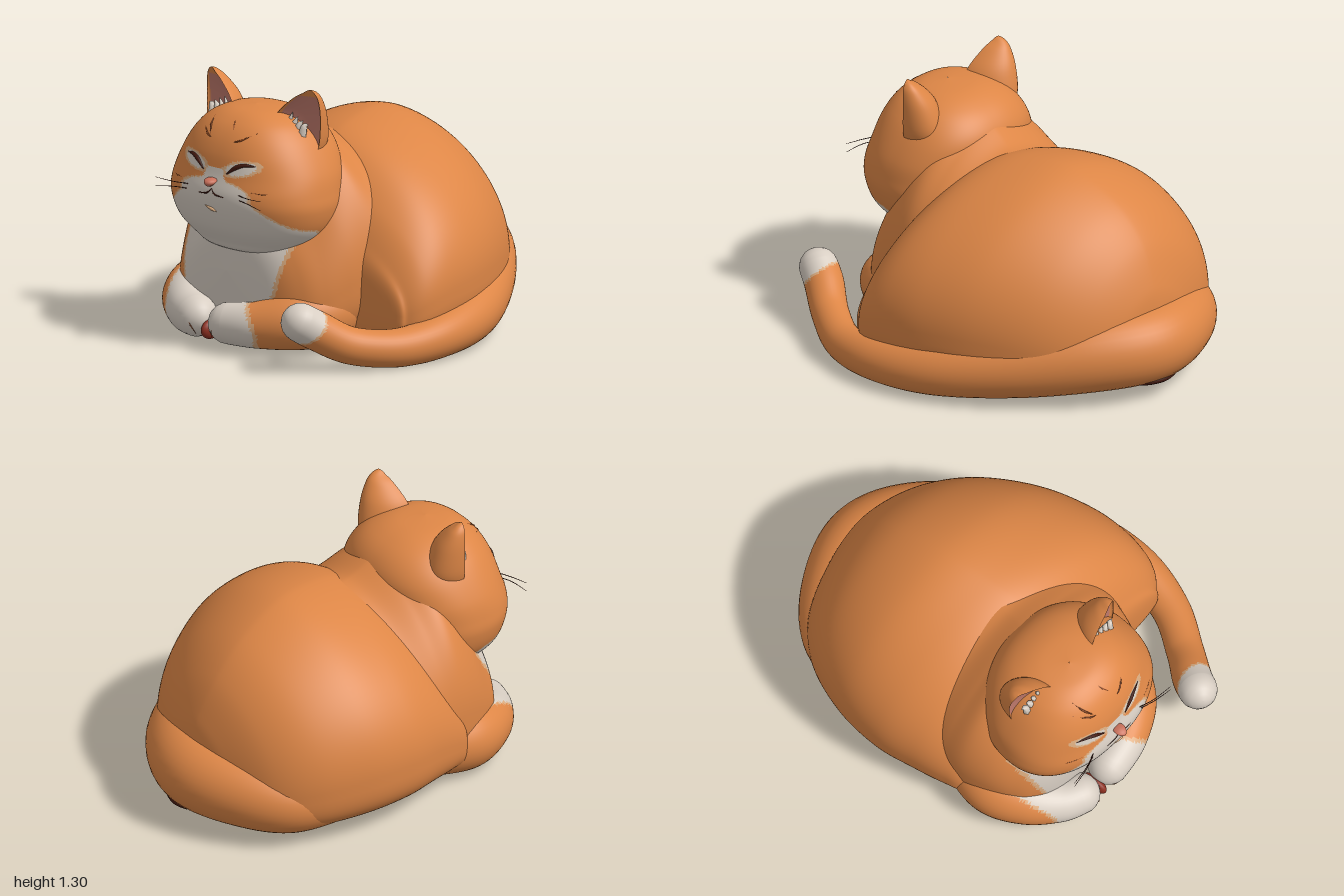
import * as THREE from 'three';

const mat = (name, color) => {
  const m = new THREE.MeshStandardMaterial({ color });
  m.name = name;
  return m;
};
const orange = mat('orange fur', 0xdd8646);
const white = mat('white fur', 0xd8cec3);
const tan = mat('tan fur', 0xdbac80);
const pink = mat('ear pink', 0xc07a6c);
const rose = mat('nose rose', 0xc9705a);
const dark = mat('dark line', 0x42190f);
const mark = mat('brown marking', 0x8a4620);
const red = mat('deep red', 0x8c2f20);
const FUR = [orange, white, tan, pink];
const O = 0, W = 1, T = 2, P = 3;
const HX = -0.14; // middle of the head in x

// Smooth interpolation through table rows
function sample(rows, t) {
  const f = t * (rows.length - 1), i = Math.min(Math.floor(f), rows.length - 2), u = f - i;
  const r = (k) => rows[Math.max(0, Math.min(rows.length - 1, k))];
  return rows[0].map((_, c) => {
    const a = r(i - 1)[c], b = r(i)[c], d = r(i + 1)[c], e = r(i + 2)[c];
    return b + 0.5 * u * (d - a + u * (2 * a - 5 * b + 4 * d - e + u * (3 * (b - d) + e - a)));
  });
}
const dense = (rows, n) => Array.from({ length: n + 1 }, (_, i) => sample(rows, i / n));
const spow = (v, e) => Math.sign(v) * Math.abs(v) ** e;

// Surface through closed rings; pick(centre, angle) chooses the colour of each triangle
function skin(name, rings, mats, pick = () => 0) {
  const n = rings[0].length, pts = rings.flat(), sets = mats.map(() => []);
  const add = (a, b, c, angle) => {
    const mid = pts[a].clone().add(pts[b]).add(pts[c]).divideScalar(3);
    sets[pick(mid, angle)].push(a, b, c);
  };
  for (let i = 0; i < rings.length - 1; i++) {
    for (let j = 0; j < n; j++) {
      const a = i * n + j, b = i * n + ((j + 1) % n), angle = ((j + 0.5) / n) * Math.PI * 2;
      add(a, b, a + n, angle);
      add(b, b + n, a + n, angle);
    }
  }
  const g = new THREE.BufferGeometry().setFromPoints(pts);
  g.setIndex(sets.flat());
  let start = 0;
  sets.forEach((s, m) => { if (s.length) g.addGroup(start, s.length, m); start += s.length; });
  g.computeVertexNormals();
  const mesh = new THREE.Mesh(g, mats);
  mesh.name = name;
  return mesh;
}
const ring = (n, fn) => Array.from({ length: n }, (_, j) => fn((j / n) * Math.PI * 2));

// Trunk section along z: rows are z, left x, right x, top, bottom; slope narrows the upper half
function trunk(name, rows, slope, pick) {
  const rings = dense(rows, 90).map(([z, xl, xr, top, bot]) => {
    const c = (xl + xr) / 2, h = (xr - xl) / 2, mid = bot + 0.33 * (top - bot);
    return ring(120, (a) => {
      const s = Math.sin(a), k = Math.cos(a), up = s >= 0;
      return new THREE.Vector3(c + h * spow(k, up ? slope : 0.6),
        up ? mid + (top - mid) * s : mid + (mid - bot) * spow(s, 0.6), z);
    });
  });
  return skin(name, rings, FUR, pick);
}

// Round limb: rows are x, y, z, radius; both ends are rounded
function limb(name, rows, mats, pick, n = 40, sides = 28, floor = 0.01) {
  const pts = dense(rows, n), v = (r) => new THREE.Vector3(r[0], r[1], r[2]);
  const stops = pts.map((p, i) => ({
    c: v(p), r: Math.max(p[3], 0.0005),
    t: v(pts[Math.min(n, i + 1)]).sub(v(pts[Math.max(0, i - 1)])).normalize(),
  }));
  const cap = (s, dir) => [0.3, 0.6, 0.9, 1.2, 1.4, 1.57].map((a) => ({
    c: s.c.clone().addScaledVector(s.t, dir * s.r * Math.sin(a)), r: s.r * Math.cos(a), t: s.t,
  }));
  const all = [...cap(stops[0], -1).reverse(), ...stops, ...cap(stops[n], 1)];
  const rings = all.map(({ c, r, t }) => {
    const N = new THREE.Vector3().crossVectors(t, new THREE.Vector3(0.01, 1, 0.02)).normalize();
    const B = new THREE.Vector3().crossVectors(t, N);
    return ring(sides, (a) => {
      const p = c.clone().addScaledVector(N, r * Math.cos(a)).addScaledVector(B, r * Math.sin(a));
      p.y = Math.max(p.y, floor);
      return p;
    });
  });
  return skin(name, rings, mats, pick);
}

// Head rows: y, half width, front z, back z
const headRows = dense([
  [0.47, 0.02, 0.6, 0.56], [0.5, 0.24, 0.76, 0.38], [0.55, 0.345, 0.81, 0.3], [0.63, 0.415, 0.87, 0.26],
  [0.73, 0.445, 0.905, 0.24], [0.81, 0.44, 0.91, 0.23], [0.9, 0.418, 0.885, 0.22], [1.0, 0.368, 0.86, 0.22],
  [1.08, 0.31, 0.82, 0.26], [1.14, 0.24, 0.765, 0.33], [1.18, 0.14, 0.69, 0.43], [1.195, 0.002, 0.58, 0.575],
], 130);
const HE = 0.88;
function faceZ(x, y) {
  const i = Math.max(0, headRows.findIndex((r) => r[0] >= y));
  const [, h, f, b] = headRows[i];
  const k = Math.min(1, Math.abs(x - HX) / h);
  return (f + b) / 2 + ((f - b) / 2) * (1 - k ** (2 / HE)) ** (HE / 2);
}
// Tapered stroke lying on the face: points are x offset from the head middle, y, radius
const stroke = (name, pts, m) => limb(name,
  pts.map(([dx, y, r]) => [HX + dx, y, faceZ(HX + dx, y), r]), [m], undefined, 14, 8);

// Squashed ball at a point
function ball(name, m, center, size) {
  const mesh = new THREE.Mesh(new THREE.SphereGeometry(1, 20, 14).scale(...size), m);
  mesh.geometry.computeVertexNormals();
  mesh.name = name;
  mesh.position.set(...center);
  return mesh;
}

function makeHead() {
  const g = new THREE.Group();
  g.name = 'head';
  const rings = headRows.map(([y, h, f, b]) => ring(180, (a) => new THREE.Vector3(
    HX + h * spow(Math.sin(a), HE), y, (f + b) / 2 + ((f - b) / 2) * spow(Math.cos(a), HE))));
  g.add(skin('skull', rings, FUR, ({ x, y, z }) => {
    const dx = Math.abs(x - HX), eye = Math.hypot((dx - 0.14 - (y - 0.94)) / 0.092, (y - 0.945) / 0.042);
    if (z < 0.5) return O;
    const edge = Math.min(0.2 + (0.8 - y) * 1.3 - dx, (z - 0.88 + (0.8 - y) * 1.6) * 0.8);
    const jaw = y < 0.8 && edge > 0;
    const muzzle = Math.hypot(dx / 0.21, (y - 0.81) / 0.07);
    const bridge = y > 0.8 && y < 0.935 && dx < 0.045 + (0.935 - y) * 0.5;
    if (jaw || muzzle < 1 || bridge || eye < 0.8) return W;
    return eye < 1.05 || muzzle < 1.08 || (y < 0.8 && edge > -0.015) ? T : O;
  }));

  for (const s of [-1, 1]) {
    const side = s < 0 ? 'right' : 'left';
    // Ear: hollowed front, rounded back
    const ear = dense([[0.98, 0.345, 0.06, 0.16], [1.06, 0.365, 0.1, 0.17], [1.18, 0.368, 0.15, 0.13],
      [1.26, 0.36, 0.23, 0.08], [1.295, 0.345, 0.285, 0.045], [1.31, 0.328, 0.308, 0.015],
      [1.312, 0.321, 0.32, 0.001]], 30)
      .map(([y, xo, xi, depth]) => ring(40, (a) => {
        const h = (xo - xi) / 2, k = Math.cos(a);
        return new THREE.Vector3(HX + s * (xo + xi) / 2 + h * Math.sin(a), y,
          0.565 - (y - 1.1) * 0.08 - 0.3 * h * s * Math.sin(a) + (k > 0 ? -0.3 * h * k : depth * k));
      }));
    g.add(skin(side + 'Ear', ear, FUR, (p, a) => (Math.cos(a) > 0.42 && p.y < 1.275 ? P : O)));
    // Ear tufts
    for (let i = 0; i < 4; i++) {
      const x = HX + s * (0.19 + i * 0.033);
      g.add(limb(side + 'EarTuft', [[x, 1.08, 0.57, 0.022], [x + s * 0.01, 1.13, 0.565, 0.017],
        [x + s * 0.03, 1.185 - i * 0.015, 0.56, 0.002]], [white], undefined, 8, 6));
    }
    // Closed eye, mouth, whiskers and forehead marks
    g.add(stroke(side + 'Eye', [[s * 0.215, 0.965, 0.003], [s * 0.165, 0.967, 0.009],
      [s * 0.12, 0.95, 0.011], [s * 0.075, 0.914, 0.003]], dark));
    g.add(stroke(side + 'Mouth', [[0, 0.835, 0.002], [s * 0.025, 0.81, 0.004], [s * 0.08, 0.803, 0.002]], dark));
    g.add(stroke(side + 'BrowMark', [[s * 0.17, 1.11, 0.001], [s * 0.11, 1.075, 0.005], [s * 0.06, 1.06, 0.001]], mark));
    g.add(stroke(side + 'CheekMark', [[s * 0.34, 0.85, 0.001], [s * 0.28, 0.84, 0.003], [s * 0.22, 0.845, 0.001]], mark));
    for (const [y, end] of [[0.825, 0.835], [0.8, 0.79]]) {
      g.add(limb(side + 'Whisker', [[HX + s * 0.15, y, 0.885, 0.002], [HX + s * 0.24, y + 0.003, 0.915, 0.002],
        [HX + s * 0.34, end, 0.93, 0.001]], [dark], undefined, 8, 5));
    }
  }
  for (const [dx, y] of [[-0.11, 1.13], [0.03, 1.15]]) {
    g.add(stroke('crownMark', [[dx - 0.02, y + 0.02, 0.001], [dx, y - 0.02, 0.005], [dx + 0.04, y - 0.07, 0.001]], mark));
  }
  g.add(stroke('chinMark', [[-0.035, 0.745, 0.002], [0.005, 0.733, 0.009], [0.03, 0.725, 0.003]], tan));
  // Nose: a small rounded wedge, wider at the top
  const nose = ball('nose', rose, [HX, 0.868, 0.91], [0.038, 0.022, 0.04]), p = nose.geometry.attributes.position;
  for (let i = 0; i < p.count; i++) p.setX(i, p.getX(i) * (0.65 + 22 * p.getY(i)));
  g.add(nose);
  return g;
}

export function createModel() {
  const cat = new THREE.Group();
  cat.name = 'loafingCat';

  // Broad rear body with a flat pale belly
  cat.add(trunk('rearBody', [
    [-0.85, -0.13, -0.129, 0.411, 0.41], [-0.82, -0.36, 0.12, 0.56, 0.18], [-0.72, -0.6, 0.32, 0.76, 0.06],
    [-0.55, -0.75, 0.49, 0.92, 0.035], [-0.3, -0.835, 0.64, 1.025, 0.03], [-0.05, -0.845, 0.73, 1.02, 0.03],
    [0.15, -0.8, 0.755, 0.96, 0.03], [0.3, -0.75, 0.74, 0.82, 0.03], [0.39, -0.7, 0.68, 0.66, 0.04],
    [0.435, -0.58, 0.57, 0.5, 0.12], [0.445, -0.1, -0.099, 0.311, 0.31],
  ], 1.22, ({ x, y, z }) => {
    const d = Math.hypot((x + 0.05) / 0.7, (z + 0.12) / 0.72);
    return y > 0.13 || d > 1 ? O : d > 0.95 ? T : W;
  }));

  // Chest, shoulders and neck with a white bib
  cat.add(trunk('chest', [
    [0, -0.68, 0.5, 0.975, 0.036], [0.13, -0.7, 0.5, 0.99, 0.036], [0.26, -0.71, 0.47, 1.06, 0.036],
    [0.38, -0.7, 0.43, 1.12, 0.036], [0.5, -0.66, 0.4, 1.02, 0.036], [0.61, -0.6, 0.35, 0.82, 0.04],
    [0.69, -0.53, 0.27, 0.7, 0.06], [0.745, -0.41, 0.12, 0.6, 0.12], [0.765, -0.17, -0.169, 0.391, 0.39],
  ], 1.3, ({ x, y, z }) => {
    const d = Math.abs(x + 0.18) - (0.21 + 0.25 * Math.min(y, 0.6));
    if (y < 0.06 && z < 0.6 && Math.abs(x + 0.12) < 0.45) return W;
    return z < 0.55 || d > 0.02 ? O : d > 0 ? T : W;
  }));

  cat.add(makeHead());

  // Folded front legs with white paws
  cat.add(limb('rightFrontLeg', [[-0.52, 0.2, 0.3, 0.17], [-0.56, 0.18, 0.48, 0.165], [-0.51, 0.17, 0.64, 0.14],
    [-0.41, 0.15, 0.76, 0.113], [-0.32, 0.145, 0.81, 0.103]], FUR,
  ({ x, y, z }) => {
    const d = x + 0.2 * (z - 0.8) + 4 * (y - 0.14) ** 2;
    return z < 0.6 || d < -0.51 ? O : d < -0.49 ? T : W;
  }, 60, 40, 0.035));
  cat.add(limb('leftFrontLeg', [[0.17, 0.22, 0.33, 0.17], [0.225, 0.2, 0.5, 0.17], [0.18, 0.18, 0.66, 0.145],
    [0.04, 0.155, 0.77, 0.115], [-0.11, 0.145, 0.81, 0.103]], FUR,
  ({ x, y, z }) => {
    const d = x - 0.2 * (z - 0.8) + 4 * (y - 0.12) ** 2;
    return z < 0.6 || d > 0.1 ? O : d > 0.075 ? T : W;
  }, 60, 40, 0.035));
  // Shadowed pad between the paws, and toe lines
  cat.add(ball('pawPad', red, [-0.215, 0.1, 0.82], [0.03, 0.05, 0.07]));
  for (const [x, s] of [[-0.28, 1], [-0.14, -1]]) {
    for (let i = 0; i < 3; i++) {
      const px = x - s * i * 0.045, pz = 0.903 - i * 0.008;
      cat.add(limb('toeLine', [[px + s * 0.02, 0.08, pz - 0.02, 0.001], [px, 0.125, pz, 0.003],
        [px - s * 0.03, 0.175, pz - 0.005, 0.001]], [mark], undefined, 8, 6));
    }
  }

  // Tail sweeping round the left side to a white tip
  cat.add(limb('tail', [
    [-0.64, 0.2, -0.32, 0.12], [-0.55, 0.22, -0.58, 0.165], [-0.35, 0.25, -0.74, 0.185],
    [-0.1, 0.265, -0.805, 0.193], [0.15, 0.255, -0.68, 0.192], [0.42, 0.2, -0.42, 0.165],
    [0.645, 0.15, -0.1, 0.135], [0.73, 0.12, 0.2, 0.11], [0.69, 0.1, 0.47, 0.095],
    [0.57, 0.13, 0.68, 0.092], [0.47, 0.215, 0.82, 0.097], [0.43, 0.265, 0.895, 0.096],
  ], FUR, ({ y, z }) => {
    const d = z + 0.8 * (y - 0.3);
    return d > 0.82 ? W : d > 0.805 ? T : O;
  }, 110, 36));
  // Dark patch under the back of the tail
  cat.add(limb('tailPatch', [[-0.16, 0.11, -0.92, 0.004], [-0.08, 0.115, -0.92, 0.018],
    [0.02, 0.12, -0.885, 0.018], [0.1, 0.13, -0.825, 0.004]], [dark], undefined, 16, 10));
  return cat;
}
